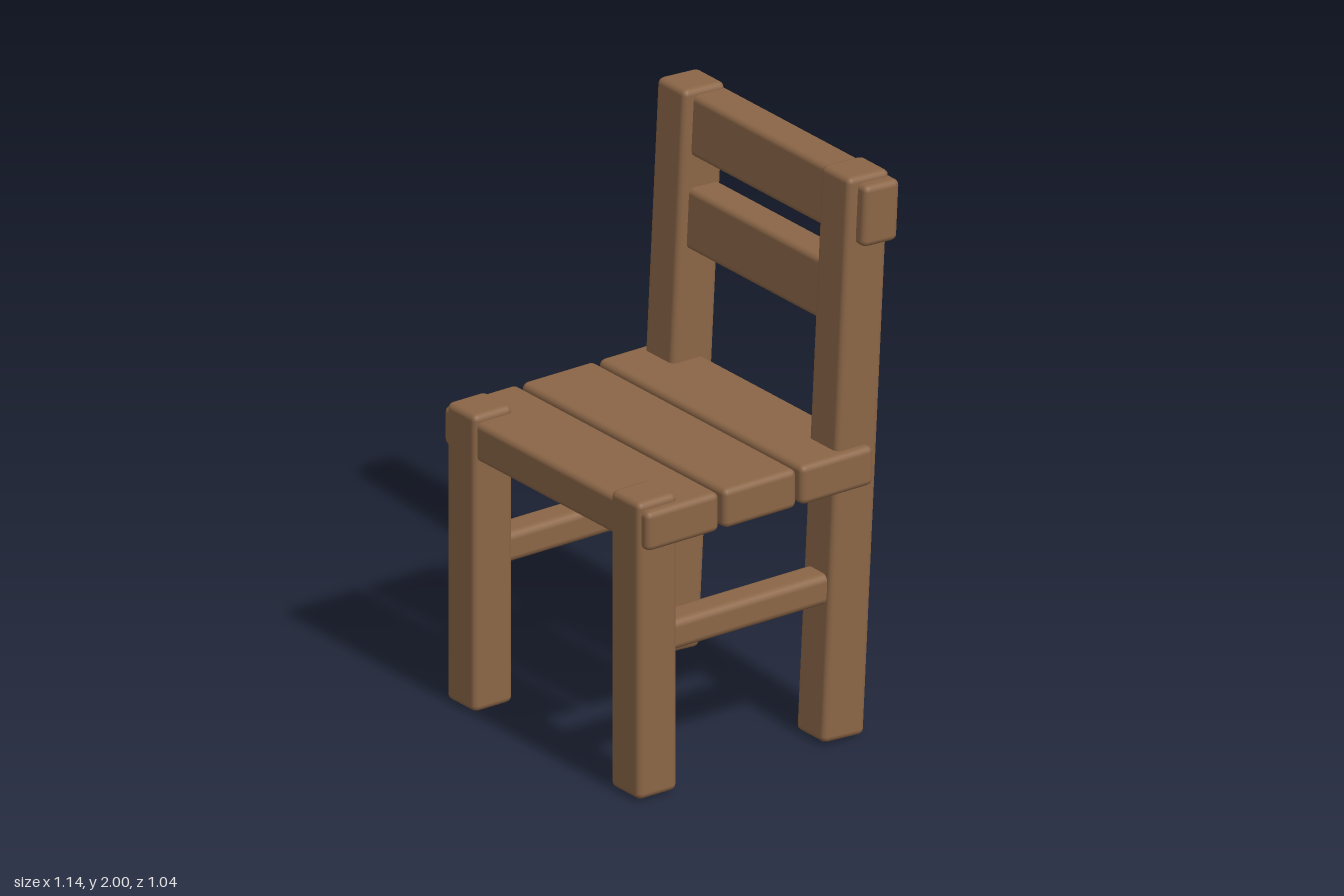
import * as THREE from 'three';
import { RoundedBoxGeometry } from 'three/addons/geometries/RoundedBoxGeometry.js';

export function createModel() {
  const chair = new THREE.Group();
  chair.name = 'chair';
  const wood = new THREE.MeshStandardMaterial({ color: 0x8b6647 });
  wood.name = 'brown wood';

  const TILT = -THREE.MathUtils.degToRad(3); // backrest leans backwards

  // A timber beam with softened edges
  function beam(name, size, position, tilt = 0, radius = 0.022) {
    const mesh = new THREE.Mesh(new RoundedBoxGeometry(...size, 2, radius), wood);
    mesh.name = name;
    mesh.position.set(...position);
    mesh.rotation.x = tilt;
    chair.add(mesh);
  }

  // Legs and side stretchers, mirrored left and right
  for (const [side, s] of [['left', 1], ['right', -1]]) {
    const x = 0.447 * s;
    beam(`${side}FrontLeg`, [0.158, 1.06, 0.16], [x, 0.536, 0.44]);
    beam(`${side}BackLeg`, [0.158, 1.993, 0.17], [x, 1.001, -0.373], TILT);
    beam(`${side}Stretcher`, [0.116, 0.108, 0.74], [x, 0.546, 0.04], 0, 0.026);
  }

  // Seat planks
  [0.359, 0.043, -0.272].forEach((z, i) =>
    beam(`seatPlank${i + 1}`, [1.114, 0.14, 0.297], [0, 0.97, z]));

  // Backrest rails
  beam('topRail', [1.138, 0.216, 0.144], [0, 1.865, -0.443], TILT);
  beam('lowerRail', [0.78, 0.216, 0.13], [0, 1.54, -0.417], TILT);

  return chair;
}
